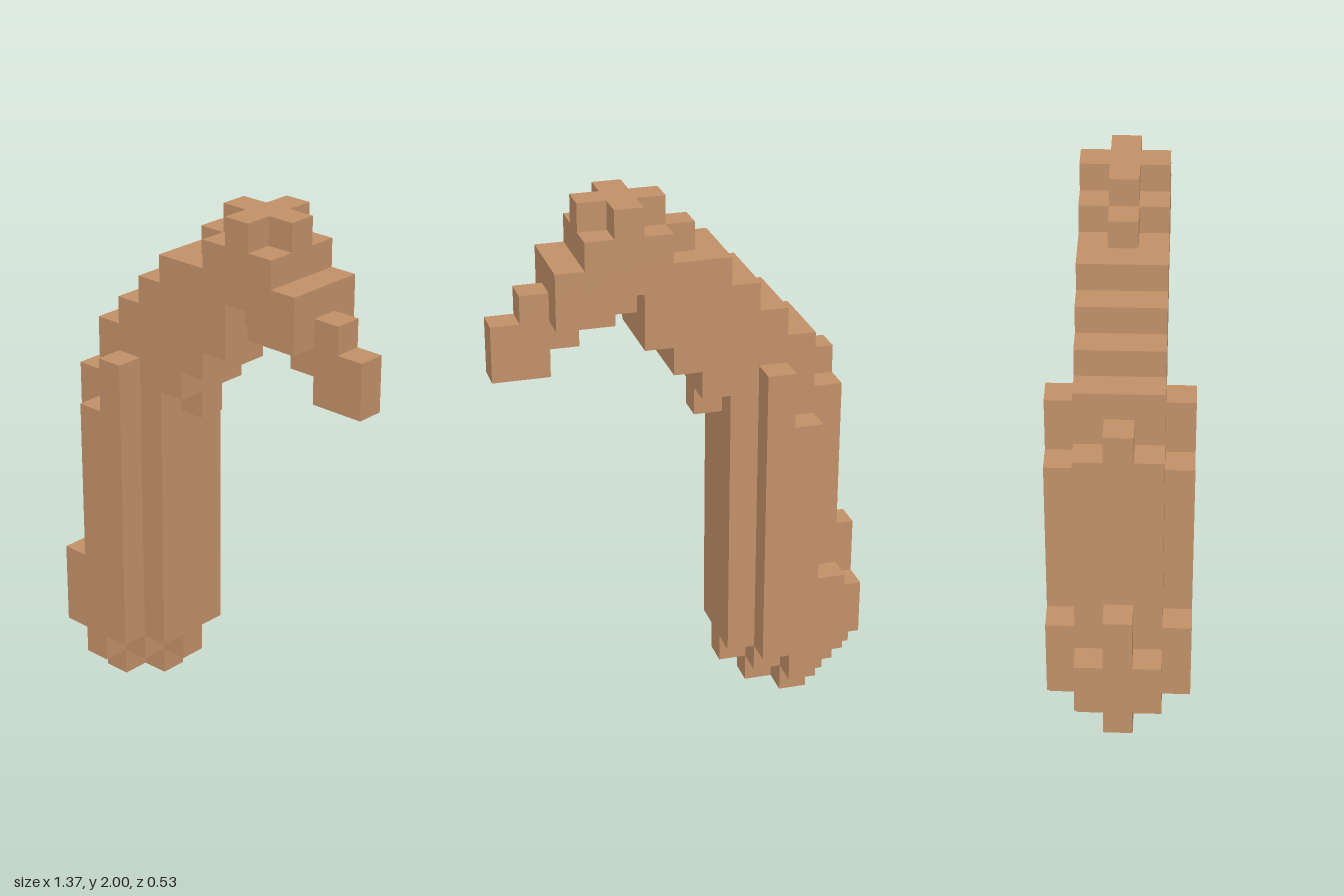
import * as THREE from 'three';
import { mergeGeometries } from 'three/addons/utils/BufferGeometryUtils.js';

const U = 2 / 19; // edge of one block

// Block columns per depth layer (mirrored front to back): [column, lowest row, highest row]
const LAYERS = [
  [[0, 1, 5], [1, 0, 12], [2, 0, 13], [3, 0, 14], [4, 1, 15], [5, 11, 16], [6, 13, 17],
    [7, 14, 18], [8, 15, 18], [9, 15, 18], [10, 14, 16], [11, 13, 15], [12, 13, 14]],
  [[0, 2, 3], [1, 1, 11], [2, 0, 13], [3, 1, 14], [4, 2, 15], [5, 12, 16], [6, 13, 16],
    [7, 14, 17], [8, 16, 18], [9, 15, 17], [10, 15, 16]],
  [[1, 2, 4], [2, 1, 10], [3, 2, 12]],
];

// Outward directions with the rotation that turns a +z plane towards each
const SIDES = [
  [[0, 0, 1], 0, 0], [[0, 0, -1], 0, Math.PI],
  [[1, 0, 0], 0, Math.PI / 2], [[-1, 0, 0], 0, -Math.PI / 2],
  [[0, 1, 0], -Math.PI / 2, 0], [[0, -1, 0], Math.PI / 2, 0],
];

function partOf(col, row) {
  if (col === 0) return 'heel';
  if (col > 10 || (col === 10 && row < 15)) return 'tip';
  if (col > 6) return 'crown';
  if (row < 2) return 'foot';
  return row > 12 || col > 4 ? 'neck' : 'post';
}

export function createModel() {
  const model = new THREE.Group();
  model.name = 'hookedPost';
  const tan = new THREE.MeshStandardMaterial({ color: 0xc19068 });
  tan.name = 'tan';

  // Fill the block grid
  const blocks = new Map();
  LAYERS.forEach((columns, depth) => {
    for (const [col, low, high] of columns) {
      for (let row = low; row <= high; row++) {
        for (const k of depth ? [-depth, depth] : [0]) {
          blocks.set(`${col},${row},${k}`, [col, row, k]);
        }
      }
    }
  });

  // Lay a square on every exposed block side, gathered by part
  const parts = {};
  for (const [col, row, k] of blocks.values()) {
    for (const [[dx, dy, dz], tilt, turn] of SIDES) {
      if (blocks.has(`${col + dx},${row + dy},${k + dz}`)) continue;
      const face = new THREE.PlaneGeometry(U, U).rotateX(tilt).rotateY(turn);
      face.translate((col - 6 + dx / 2) * U, (row + 0.5 + dy / 2) * U, (k + dz / 2) * U);
      (parts[partOf(col, row)] ??= []).push(face);
    }
  }

  for (const [name, faces] of Object.entries(parts)) {
    const mesh = new THREE.Mesh(mergeGeometries(faces), tan);
    mesh.name = name;
    model.add(mesh);
  }
  return model;
}
